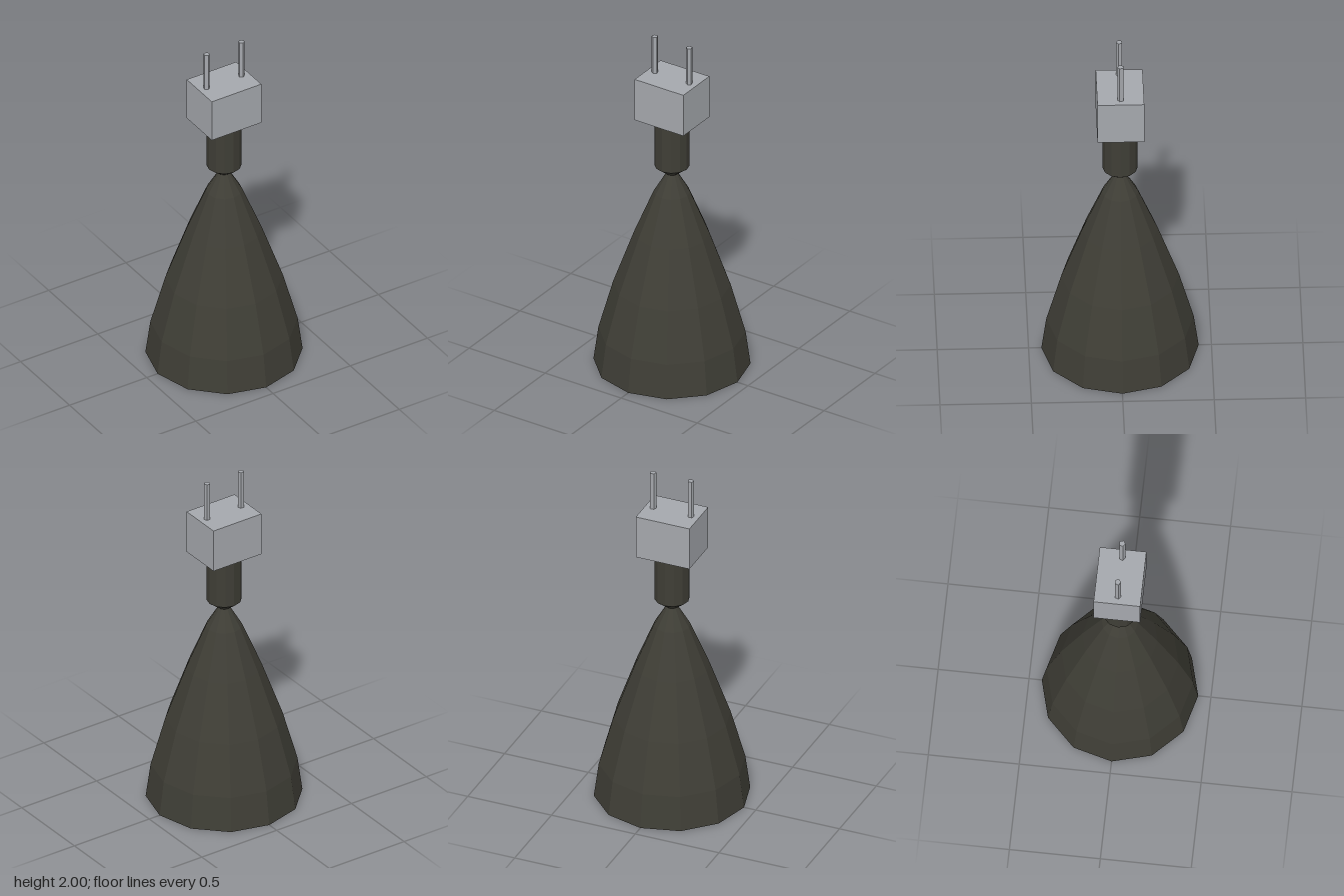
import * as THREE from 'three';

export function createModel() {
  const model = new THREE.Group();
  model.name = 'pendantLamp';

  const dark = new THREE.MeshStandardMaterial({ color: 0x3f3e36, flatShading: true, side: THREE.DoubleSide });
  dark.name = 'dark olive';
  const grey = new THREE.MeshStandardMaterial({ color: 0xa5a8ad, flatShading: true });
  grey.name = 'light grey';

  const add = (name, geometry, material, x = 0, y = 0) => {
    const mesh = new THREE.Mesh(geometry, material);
    mesh.name = name;
    mesh.position.set(x, y, 0);
    model.add(mesh);
  };
  const lathe = (profile) =>
    new THREE.LatheGeometry(profile.map(([r, y]) => new THREE.Vector2(r, y)), 12);

  // Open bell-shaped shade
  add('shade', lathe([[0.43, 0], [0.403, 0.2], [0.322, 0.49], [0.206, 0.81], [0.1, 1.065], [0.032, 1.18]]), dark);

  // Neck with a tapered lower end
  add('neck', lathe([[0.032, 1.18], [0.097, 1.23], [0.097, 1.52]]), dark);

  // Plug block
  add('plugBlock', new THREE.BoxGeometry(0.32, 0.255, 0.256), grey, 0, 1.6475);

  // Two five-sided prongs
  for (const side of [-1, 1]) {
    add(side < 0 ? 'rightProng' : 'leftProng', new THREE.CylinderGeometry(0.018, 0.018, 0.225, 5), grey, side * 0.113, 1.8875);
  }

  return model;
}
